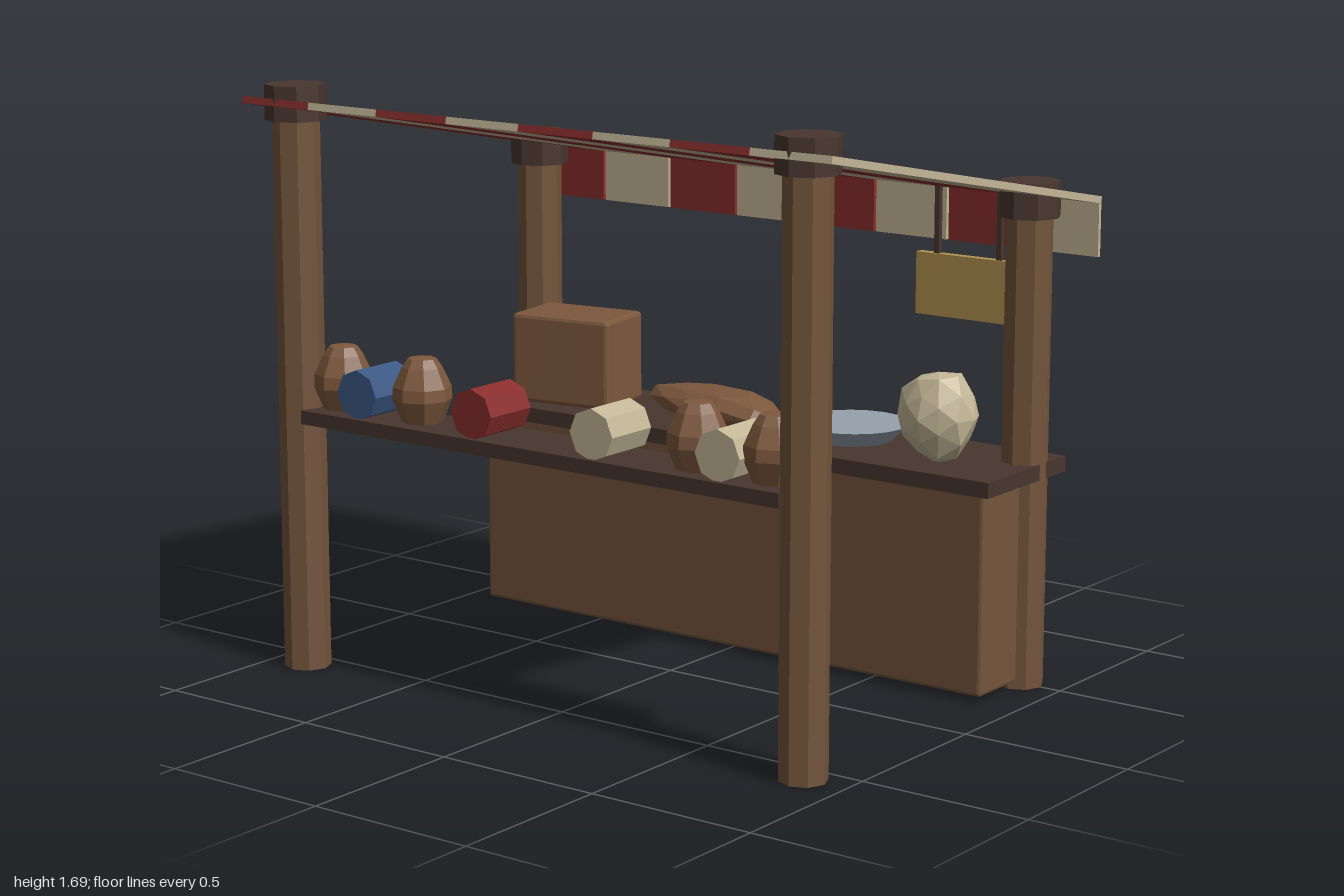
import * as THREE from 'three';
import { RoundedBoxGeometry } from 'three/addons/geometries/RoundedBoxGeometry.js';

const paint = (name, color) => {
  const m = new THREE.MeshStandardMaterial({ color, flatShading: true });
  m.name = name;
  return m;
};

export function createModel() {
  const model = new THREE.Group();
  model.name = 'marketStall';

  const wood = paint('wood', 0x74553c);
  const tan = paint('warmBrown', 0x7d583d);
  const dark = paint('darkWood', 0x49362f);
  const red = paint('redCloth', 0x8b2e2e);
  const cream = paint('creamCloth', 0xc4b797);
  const gold = paint('signGold', 0xb39450);
  const blue = paint('blueCloth', 0x3b5985);
  const metal = paint('metal', 0x96a1ad);

  const add = (name, geometry, material, x, y, z, parent = model) => {
    const mesh = new THREE.Mesh(geometry, material);
    mesh.name = name;
    mesh.position.set(x, y, z);
    parent.add(mesh);
    return mesh;
  };
  const box = (w, h, d) => new THREE.BoxGeometry(w, h, d);
  const bevelBox = (w, h, d, r) => new RoundedBoxGeometry(w, h, d, 1, r);

  // Low-poly lump: a sphere whose corners move in and out by a position rule
  const lump = (rx, ry, rz, rough) => {
    const g = new THREE.IcosahedronGeometry(1, 1);
    const p = g.attributes.position;
    const v = new THREE.Vector3();
    for (let i = 0; i < p.count; i++) {
      v.fromBufferAttribute(p, i);
      const k = 1 + rough * Math.sin(v.x * 7.3 + v.y * 11.1 + v.z * 5.7);
      p.setXYZ(i, v.x * rx * k, v.y * ry * k, v.z * rz * k);
    }
    g.computeVertexNormals();
    return g;
  };

  // Posts with caps: tall at the front, short at the back
  for (const [z, height] of [[0.583, 1.69], [-0.496, 1.445]]) {
    for (const x of [-0.877, 0.87]) {
      const postHeight = height - 0.03;
      add('post', new THREE.CylinderGeometry(0.067, 0.067, postHeight, 8), wood, x, postHeight / 2, z);
      add('postCap', new THREE.CylinderGeometry(0.087, 0.087, 0.1, 8), dark, x, height - 0.05, z);
    }
  }

  // Striped sloping awning with a hanging flap under each stripe
  const awning = new THREE.Group();
  awning.name = 'awning';
  model.add(awning);
  for (let i = 0; i < 8; i++) {
    const x = -0.875 + i * 0.25;
    const cloth = i % 2 ? cream : red;
    add('awningStripe', box(0.25, 0.02, 1.357), cloth, x, 1.513, 0.003, awning).rotation.x = -0.195;
    add('awningFlap', box(0.242, 0.165, 0.012), cloth, x, 1.303, -0.663, awning);
  }

  // Counter with five boards on its back
  add('counterBody', bevelBox(1.78, 0.585, 0.325, 0.01), wood, 0, 0.3125, -0.41);
  for (let i = 0; i < 5; i++) {
    add('counterBoard', bevelBox(0.352, 0.565, 0.026, 0.006), wood, -0.712 + i * 0.356, 0.3175, -0.577);
  }
  add('counterTop', box(1.86, 0.045, 0.415), dark, 0, 0.6275, -0.4125);

  // Front shelf
  add('shelf', box(1.656, 0.04, 0.2), dark, -0.002, 0.75, 0.54);

  // Jars on the shelf
  const jarProfile = [[0, 0], [0.058, 0], [0.084, 0.065], [0.082, 0.1], [0.057, 0.155], [0.04, 0.18], [0, 0.183]]
    .map(([r, y]) => new THREE.Vector2(r, y));
  const jarShape = new THREE.LatheGeometry(jarProfile, 8);
  for (const x of [-0.755, -0.46, 0.495, 0.742]) add('jar', jarShape, tan, x, 0.77, 0.54);

  // Cloth rolls on the shelf, ends facing front
  const roll = new THREE.CylinderGeometry(0.072, 0.072, 0.17, 8).rotateX(Math.PI / 2);
  [[-0.63, blue], [-0.212, red], [0.205, cream], [0.62, cream]]
    .forEach(([x, cloth]) => add('clothRoll', roll, cloth, x, 0.836, 0.54));

  // Goods on the counter
  add('crate', bevelBox(0.33, 0.27, 0.22, 0.012), tan, -0.632, 0.79, -0.37).rotation.y = 0.15;
  add('loaf', lump(0.27, 0.055, 0.125, 0.06), tan, -0.14, 0.695, -0.405).rotation.y = -0.25;
  add('plate', new THREE.CylinderGeometry(0.165, 0.115, 0.048, 20), metal, 0.33, 0.677, -0.435);
  add('sack', lump(0.115, 0.132, 0.112, 0.07), cream, 0.668, 0.78, -0.36);

  // Hanging sign at the back
  add('signBoard', box(0.335, 0.18, 0.026), gold, 0.622, 1.105, -0.578);
  for (const x of [0.519, 0.726]) add('signHanger', box(0.016, 0.21, 0.016), dark, x, 1.295, -0.578);

  return model;
}
